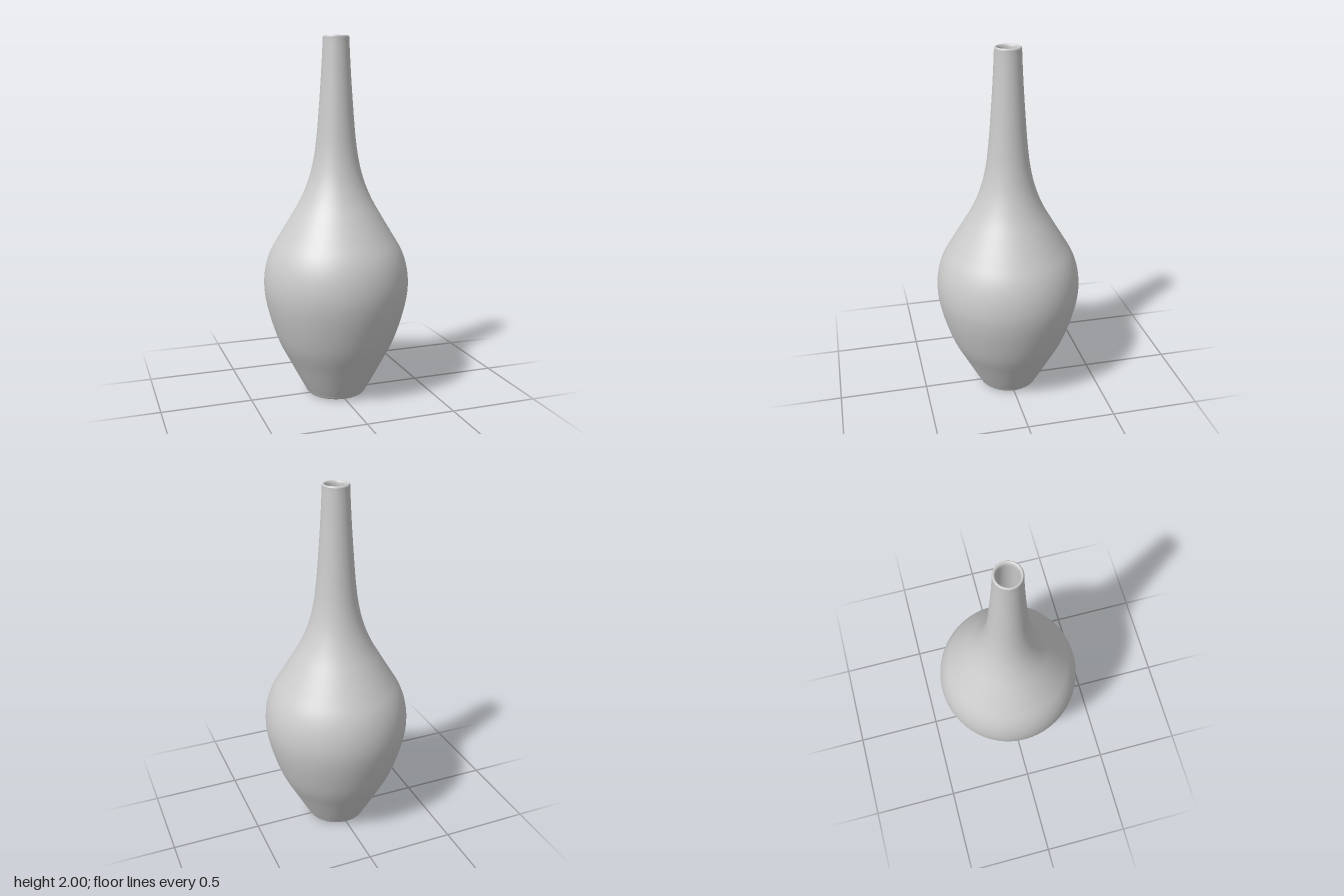
import * as THREE from 'three';

const SEGMENTS = 96;

// Smooth run of profile points through [radius, height] pairs
function smoothProfile(pairs, steps) {
  return new THREE.SplineCurve(pairs.map(([r, y]) => new THREE.Vector2(r, y))).getPoints(steps);
}

function lathe(name, points, material) {
  const mesh = new THREE.Mesh(new THREE.LatheGeometry(points, SEGMENTS), material);
  mesh.name = name;
  return mesh;
}

export function createModel() {
  const model = new THREE.Group();
  model.name = 'vase';
  const material = new THREE.MeshStandardMaterial({ color: 0xcccccc, side: THREE.DoubleSide });

  // Outer wall: narrow foot, full belly, long tapering neck
  const outer = smoothProfile([
    [0.172, 0.02], [0.2, 0.07], [0.258, 0.18], [0.32, 0.3], [0.363, 0.42], [0.394, 0.54],
    [0.405, 0.64], [0.395, 0.74], [0.365, 0.83], [0.313, 0.92], [0.253, 1.02], [0.196, 1.12],
    [0.151, 1.23], [0.122, 1.35], [0.105, 1.48], [0.092, 1.64], [0.081, 1.8], [0.073, 1.95], [0.072, 1.992],
  ], 90);
  model.add(lathe('outerWall', outer, material));

  // Flat underside with a small rounded edge
  const foot = smoothProfile([[0.145, 0], [0.158, 0.003], [0.167, 0.01], [0.172, 0.02]], 10);
  model.add(lathe('footEdge', foot, material));
  model.add(lathe('underside', [new THREE.Vector2(0, 0), new THREE.Vector2(0.145, 0)], material));

  // Rounded lip joining the outer and inner walls
  const lip = smoothProfile([
    [0.072, 1.992], [0.069, 1.998], [0.065, 2], [0.06, 1.997], [0.056, 1.988], [0.055, 1.975],
  ], 16);
  model.add(lathe('lip', lip, material));

  // Inner wall and inner floor of the hollow body
  const inner = smoothProfile([
    [0.055, 1.975], [0.063, 1.8], [0.075, 1.62], [0.09, 1.45], [0.115, 1.3], [0.17, 1.13],
    [0.28, 0.93], [0.365, 0.75], [0.382, 0.62], [0.345, 0.43], [0.24, 0.2], [0.165, 0.06],
  ], 60);
  model.add(lathe('innerWall', inner, material));
  model.add(lathe('innerFloor', [new THREE.Vector2(0.165, 0.06), new THREE.Vector2(0, 0.06)], material));

  return model;
}
